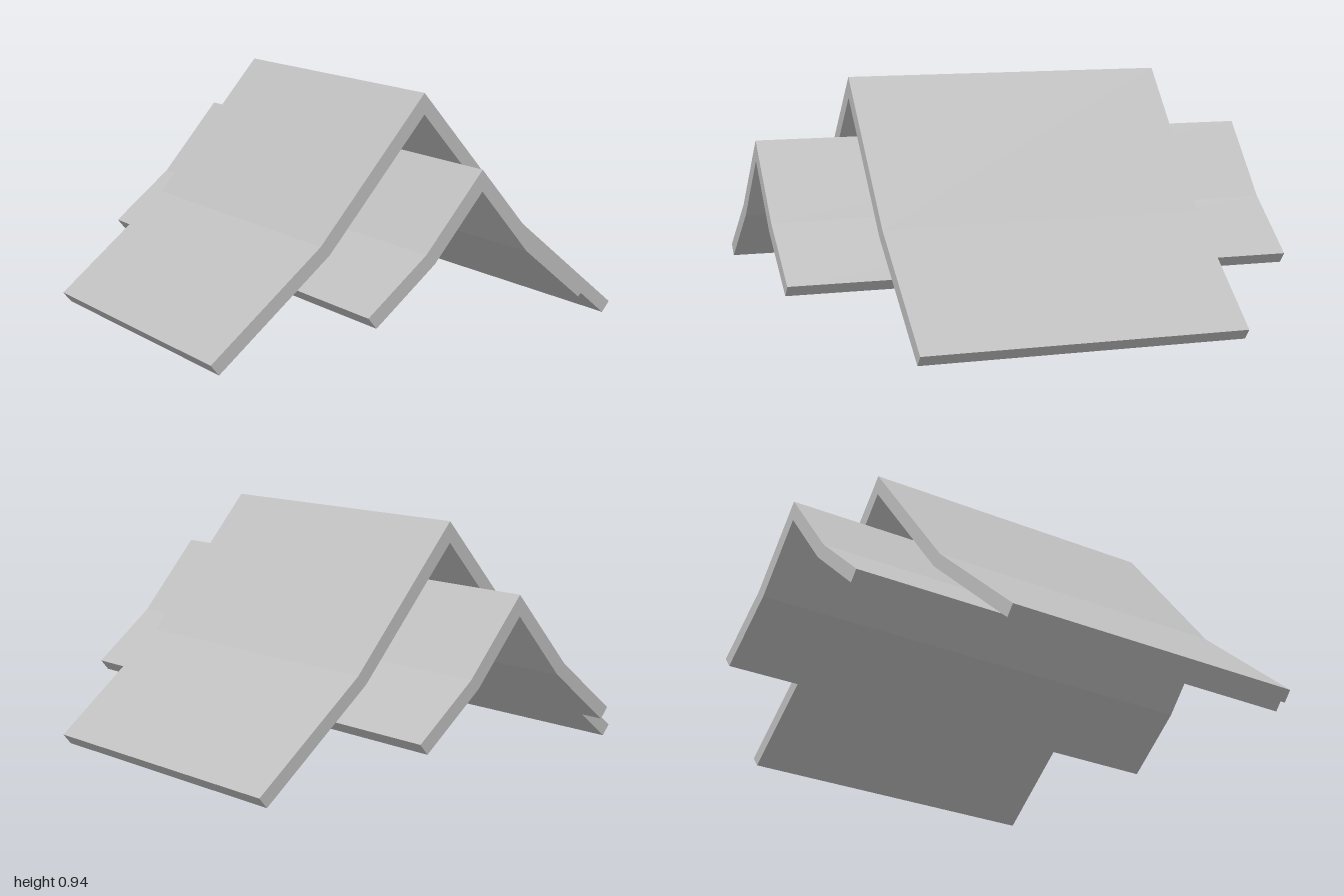
import * as THREE from 'three';

// Extrudes a symmetric bent-roof profile along z.
// top: ridge-to-eave points on +x; under: eave-to-ridge points on +x
function roofShell(name, top, under, depth, material) {
  const mirror = (points) => points.map(([x, y]) => [-x, y]).reverse();
  const outline = [
    ...top, ...under,
    ...mirror(under.slice(0, -1)),
    ...mirror(top.slice(1)),
  ];
  const shape = new THREE.Shape(outline.map(([x, y]) => new THREE.Vector2(x, y)));
  const geometry = new THREE.ExtrudeGeometry(shape, { depth, bevelEnabled: false });
  geometry.translate(0, 0, -depth / 2);
  const mesh = new THREE.Mesh(geometry, material);
  mesh.name = name;
  return mesh;
}

export function createModel() {
  const group = new THREE.Group();
  group.name = 'layeredRoof';
  const grey = new THREE.MeshStandardMaterial({ color: 0xc0c0c0 });
  grey.name = 'light grey';

  // Wide, short upper roof
  group.add(roofShell('upperRoof',
    [[0, 0.94], [0.445, 0.415], [0.895, 0.042]],
    [[0.862, 0.002], [0.407, 0.38], [0, 0.86]],
    1.27, grey));

  // Narrow, long lower roof showing at both ends
  group.add(roofShell('lowerRoof',
    [[0, 0.71], [0.237, 0.43], [0.475, 0.235]],
    [[0.442, 0.195], [0.2, 0.394], [0, 0.632]],
    2, grey));

  return group;
}
